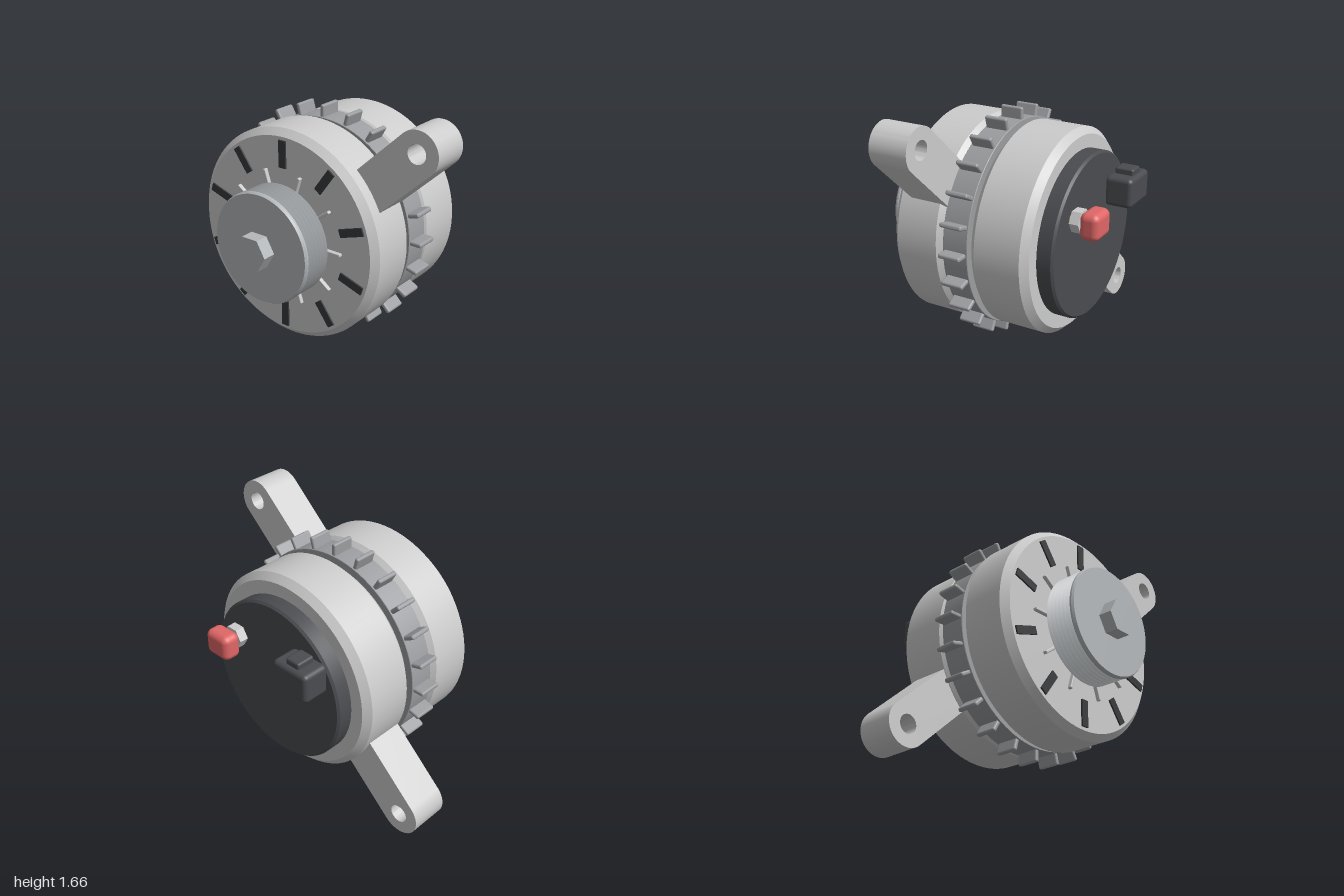
import * as THREE from 'three';
import { toCreasedNormals } from 'three/addons/utils/BufferGeometryUtils.js';
import { RoundedBoxGeometry } from 'three/addons/geometries/RoundedBoxGeometry.js';

const mat = (color) => new THREE.MeshStandardMaterial({ color });
const CY = 0.83; // height of the shaft axis

export function createModel() {
  const model = new THREE.Group();
  const body = new THREE.Group(); // origin on the shaft axis
  body.name = 'alternator';
  body.position.y = CY;
  model.add(body);

  const grey = mat(0xcccccc), steel = mat(0xb4b8bb), core = mat(0x9b9da0);
  const black = mat(0x4a4c50), slotBlack = mat(0x38393c);
  const red = mat(0xe06666), brass = mat(0xd8bc6a);

  function add(name, geometry, material, x = 0, y = 0, z = 0, parent = body) {
    const mesh = new THREE.Mesh(geometry, material);
    mesh.name = name;
    mesh.position.set(x, y, z);
    parent.add(mesh);
    return mesh;
  }

  // Solid of revolution about z; points are [radius, z] from back to front
  function turned(points, segments = 96) {
    const profile = points.map(([r, z]) => new THREE.Vector2(r, z));
    return toCreasedNormals(new THREE.LatheGeometry(profile, segments).rotateX(Math.PI / 2), 0.4);
  }

  // Chamfered drum between z0 and z1
  function drum(r, z0, z1, c) {
    return turned([[0, z0], [r - c, z0], [r, z0 + c], [r, z1 - c], [r - c, z1], [0, z1]]);
  }

  // Hexagonal prism along z with corners on the x axis
  function hex(r, depth) {
    return toCreasedNormals(
      new THREE.CylinderGeometry(r, r, depth, 6).rotateY(Math.PI / 2).rotateX(Math.PI / 2), 0.4);
  }

  // Ring of radial bars
  function radialBars(name, count, start, rIn, rOut, width, z0, z1, round, material) {
    const ring = new THREE.Group();
    ring.name = name + 's';
    body.add(ring);
    const size = [rOut - rIn, width, z1 - z0];
    const geo = round ? new RoundedBoxGeometry(...size, 2, round) : new THREE.BoxGeometry(...size);
    for (let i = 0; i < count; i++) {
      const a = start + (i / count) * Math.PI * 2, r = (rIn + rOut) / 2;
      const bar = add(name, geo, material, r * Math.cos(a), r * Math.sin(a), (z0 + z1) / 2, ring);
      bar.rotation.z = a;
    }
  }

  // Housings and stator
  add('frontHousing', drum(0.685, 0.1, 0.465, 0.042), grey);
  add('rearHousing', drum(0.665, -0.465, -0.072, 0.043), grey);
  add('statorRing', drum(0.675, -0.073, 0.098, 0.003), core);
  radialBars('statorFin', 24, 0, 0.6, 0.75, 0.03, -0.065, 0.088, 0.012, core);
  add('rearCover', drum(0.535, -0.572, -0.45, 0.014), black);

  // Front face vents and ribs
  radialBars('ventSlot', 10, Math.PI / 2, 0.45, 0.622, 0.052, 0.44, 0.476, 0, slotBlack);
  radialBars('hubRib', 10, 0, 0.3, 0.44, 0.02, 0.44, 0.49, 0.006, grey);

  // Grooved pulley with front flange
  const groove = [[0, 0.45], [0.3, 0.45], [0.3, 0.485]];
  const pitch = 0.03;
  for (let i = 0; i < 6; i++) {
    const z = 0.488 + i * pitch;
    groove.push([0.348, z], [0.354, z + 0.004], [0.348, z + 0.008], [0.327, z + pitch * 0.62]);
  }
  groove.push([0.356, 0.672], [0.356, 0.684], [0.348, 0.698], [0, 0.698]);
  add('pulley', turned(groove), steel);
  add('pulleyNut', hex(0.115, 0.11), steel, 0, 0, 0.73);

  // Mounting lugs: round-ended arms with a bolt hole, end centre at the origin
  const R = 0.14;
  const shape = new THREE.Shape();
  shape.moveTo(-0.68, -R);
  shape.lineTo(0, -R);
  shape.absarc(0, 0, R, -Math.PI / 2, Math.PI / 2, false);
  shape.lineTo(-0.68, R);
  shape.closePath();
  shape.holes.push(new THREE.Path().absarc(0, 0, 0.06, 0, Math.PI * 2, true));
  const lugGeo = toCreasedNormals(
    new THREE.ExtrudeGeometry(shape, { depth: 0.257, bevelEnabled: false, curveSegments: 24 }), 0.4);
  const lugAngle = 0.747;
  add('frontLug', lugGeo, grey, 0.86, 0.688, 0.094).rotation.z = lugAngle;
  add('rearLug', lugGeo, grey, -0.86, -0.688, -0.377).rotation.z = lugAngle + Math.PI;

  // Plug connector with latch tab
  add('connector', new RoundedBoxGeometry(0.275, 0.195, 0.185, 3, 0.03), black, -0.303, 0.24, -0.6525);
  add('connectorTab', new RoundedBoxGeometry(0.108, 0.07, 0.125, 2, 0.014), black, -0.305, 0.342, -0.653);

  // Output terminal: post, nut and cap
  const post = new THREE.CylinderGeometry(0.034, 0.034, 0.14, 24).rotateX(Math.PI / 2);
  add('terminalPost', post, brass, 0.3, 0.217, -0.61);
  add('terminalNut', hex(0.076, 0.06), grey, 0.3, 0.217, -0.62);
  add('terminalCap', new RoundedBoxGeometry(0.192, 0.17, 0.125, 4, 0.042), red, 0.3, 0.217, -0.7225);

  return model;
}
